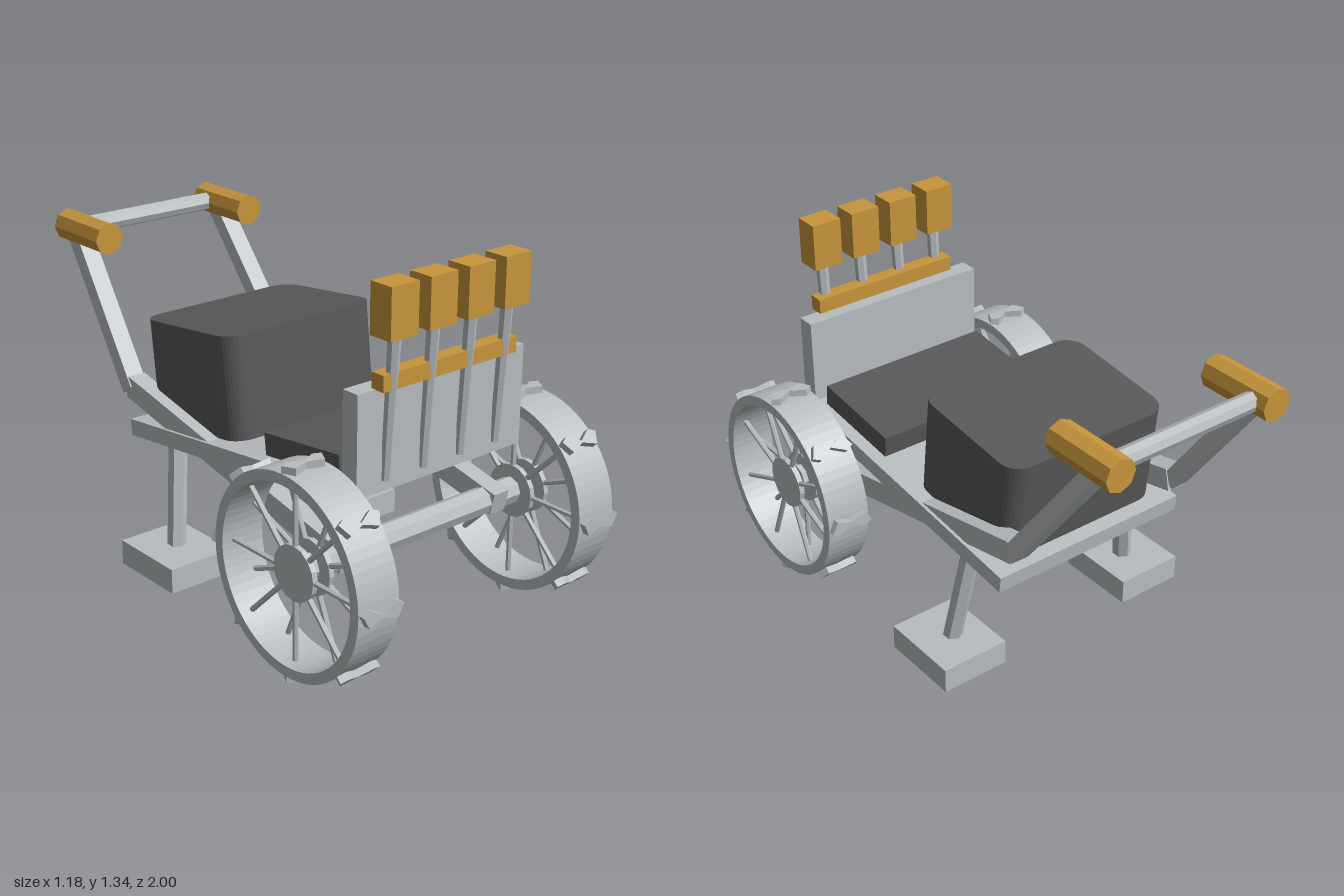
import * as THREE from 'three';

const mat = (name, color) => {
  const m = new THREE.MeshStandardMaterial({ color });
  m.name = name;
  return m;
};

export function createModel() {
  const root = new THREE.Group();
  root.name = 'wheeledCart';
  const metal = mat('pale grey metal', 0xb8bdc0);
  const dark = mat('charcoal padding', 0x58585a);
  const gold = mat('ochre grip', 0xc8963c);
  const TILT = 0.113;

  const add = (parent, name, geo, material, x = 0, y = 0, z = 0) => {
    const flat = geo.index ? geo.toNonIndexed() : geo;
    flat.computeVertexNormals();
    const m = new THREE.Mesh(flat, material);
    m.name = name;
    m.position.set(x, y, z);
    parent.add(m);
    return m;
  };
  const box = (name, material, w, h, d, x, y, z) =>
    add(root, name, new THREE.BoxGeometry(w, h, d), material, x, y, z);
  // Straight bar between two points; sides = 0 gives a square section
  const strut = (parent, name, material, a, b, rEnd, rStart, sides) => {
    const p = new THREE.Vector3(...a), q = new THREE.Vector3(...b);
    const dir = q.clone().sub(p), len = dir.length();
    const geo = sides
      ? new THREE.CylinderGeometry(rEnd, rStart, len, sides)
      : new THREE.BoxGeometry(rEnd * 2, len, rStart * 2);
    const m = add(parent, name, geo, material, ...p.add(q).multiplyScalar(0.5).toArray());
    m.quaternion.setFromUnitVectors(new THREE.Vector3(0, 1, 0), dir.normalize());
    return m;
  };

  // Sloping deck and low front pad
  box('deck', metal, 0.8, 0.063, 1.2, 0, 0.571, 0.085).rotation.x = -TILT;
  box('frontPad', dark, 0.7, 0.1, 0.385, 0, 0.672, 0.418).rotation.x = -TILT;

  // Tall rear cushion with rounded upright corners
  const w = 0.34, d = 0.26, r = 0.075;
  const s = new THREE.Shape();
  s.moveTo(-w + r, -d);
  s.lineTo(w - r, -d);
  s.absarc(w - r, -d + r, r, -Math.PI / 2, 0);
  s.absarc(w - r, d - r, r, 0, Math.PI / 2);
  s.absarc(-w + r, d - r, r, Math.PI / 2, Math.PI);
  s.absarc(-w + r, -d + r, r, Math.PI, Math.PI * 1.5);
  const cushion = new THREE.ExtrudeGeometry(s, { depth: 0.38, bevelEnabled: false, curveSegments: 4 });
  cushion.rotateX(-Math.PI / 2).translate(0, -0.19, 0);
  add(root, 'rearCushion', cushion, dark, 0, 0.761, -0.223).rotation.x = -TILT;

  // Front panel with a row of capped prongs
  box('frontPanel', metal, 0.75, 0.36, 0.07, 0, 0.81, 0.685);
  box('prongRail', gold, 0.6, 0.057, 0.056, 0, 1.017, 0.728);
  for (const x of [-0.252, -0.085, 0.083, 0.25]) {
    strut(root, 'prong', metal, [x, 0.67, 0.722], [x, 1.18, 0.752], 0.023, 0.017, 6);
    box('prongCap', gold, 0.117, 0.177, 0.096, x, 1.257, 0.748);
  }

  // Axle
  strut(root, 'axle', metal, [-0.5, 0.39, 0.615], [0.5, 0.39, 0.615], 0.05, 0.05, 8);

  // Wheel parts shared by both sides; wheel axis lies along x
  const ring = new THREE.Shape().absarc(0, 0, 0.36, 0, Math.PI * 2);
  ring.holes.push(new THREE.Path().absarc(0, 0, 0.322, 0, Math.PI * 2, true));
  const rimGeo = new THREE.ExtrudeGeometry(ring, { depth: 0.17, bevelEnabled: false, curveSegments: 32 });
  rimGeo.translate(0, 0, -0.085).rotateY(Math.PI / 2);
  const v = new THREE.Shape([
    [-0.084, 0.012], [-0.055, 0.027], [0, -0.004], [0.055, 0.027], [0.084, 0.012],
    [0.06, -0.033], [0, -0.012], [-0.06, -0.033],
  ].map((p) => new THREE.Vector2(...p)));
  const cleatGeo = new THREE.ExtrudeGeometry(v, { depth: 0.035, bevelEnabled: false });
  cleatGeo.translate(0, 0, 0.35);

  for (const side of [1, -1]) {
    const wheel = new THREE.Group();
    wheel.name = side > 0 ? 'leftWheel' : 'rightWheel';
    wheel.position.set(side * 0.505, 0.386, 0.615);
    root.add(wheel);
    add(wheel, 'rim', rimGeo, metal);
    for (const x of [-0.035, 0.035])
      strut(wheel, 'hubDisc', metal, [x - 0.01, 0, 0], [x + 0.01, 0, 0], 0.1, 0.1, 16);
    for (let i = 0; i < 16; i++) {
      const a = (i * Math.PI) / 8, c = Math.cos(a), n = Math.sin(a);
      const x = i % 2 ? 0.035 : -0.035;
      strut(wheel, 'spoke', metal, [x, n * 0.08, c * 0.08], [x, n * 0.335, c * 0.335], 0.01, 0.01, 6);
    }
    for (let i = 0; i < 8; i++)
      add(wheel, 'cleat', cleatGeo, metal).rotation.x = (i * Math.PI) / 4;

    // Side beam, push bar and grip
    strut(root, 'sideBeam', metal, [side * 0.352, 0.388, 0.665], [side * 0.352, 0.652, -0.545], 0.036, 0.042, 0);
    strut(root, 'pushBar', metal, [side * 0.358, 0.64, -0.54], [side * 0.33, 1.16, -0.92], 0.036, 0.03, 0);
    const grip = new THREE.CylinderGeometry(0.06, 0.06, 0.285, 8);
    grip.rotateX(Math.PI / 2);
    add(root, 'grip', grip, gold, side * 0.328, 1.171, -0.858);

    // Prop leg and block foot
    strut(root, 'leg', metal, [side * 0.405, 0.1, -0.235], [side * 0.345, 0.53, -0.29], 0.035, 0.035, 6);
    box('foot', metal, 0.265, 0.095, 0.315, side * 0.412, 0.078, -0.23);
  }

  // Cross bar between the grips
  strut(root, 'crossBar', metal, [-0.3, 1.172, -0.933], [0.3, 1.172, -0.933], 0.035, 0.035, 8);
  return root;
}
